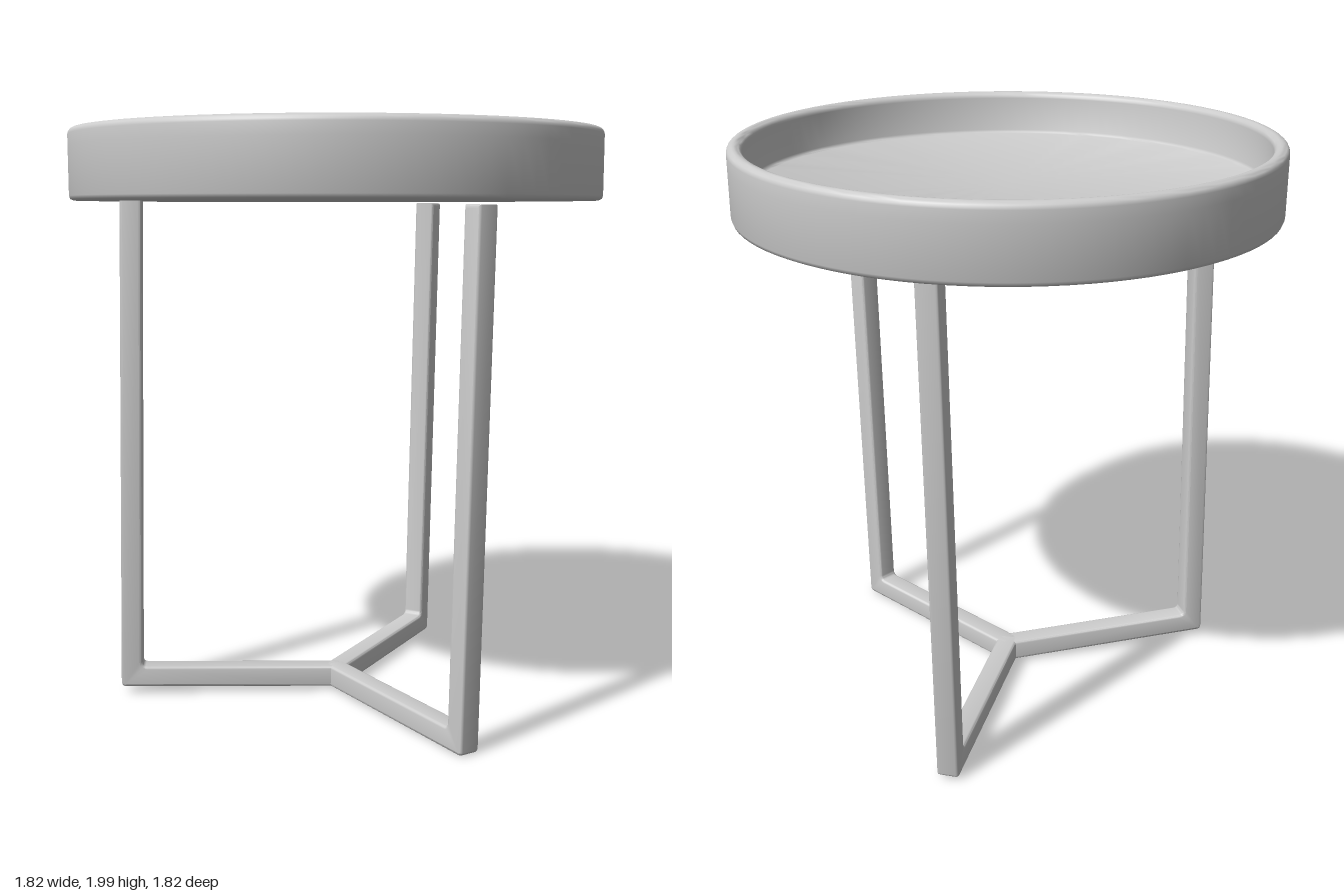
import * as THREE from 'three';
import { toCreasedNormals } from 'three/addons/utils/BufferGeometryUtils.js';

const material = new THREE.MeshStandardMaterial({ color: 0xcccccc });

// Round tray with a raised, softly rounded rim
function makeTray() {
  const R = 0.91, inner = 0.86, bottom = 1.76, top = 2, floor = 1.845;
  const points = [[0, bottom], [R - 0.015, bottom], [R - 0.004, bottom + 0.005], [R, bottom + 0.016], [R, top - 0.06]];
  // rim: a half-ellipse from the outer wall over to the inner wall
  const mid = (R + inner) / 2, half = (R - inner) / 2;
  for (let i = 0; i <= 10; i++) {
    const a = (i / 10) * Math.PI;
    points.push([mid + half * Math.cos(a), top - 0.022 + 0.022 * Math.sin(a)]);
  }
  points.push([inner, floor + 0.012], [inner - 0.004, floor + 0.004], [inner - 0.012, floor], [0, floor]);
  const profile = points.map(([x, y]) => new THREE.Vector2(x, y));
  const geometry = toCreasedNormals(new THREE.LatheGeometry(profile, 96), 0.9);
  const tray = new THREE.Mesh(geometry, material);
  tray.name = 'tray';
  return tray;
}

// L-shaped leg: a floor bar from the centre, then an upright at its outer end
function makeLegGeometry() {
  const t = 0.075, outer = 0.775, height = 1.74, bevel = 0.01, r = 0.018;
  const shape = new THREE.Shape();
  shape.moveTo(-0.01, 0);
  shape.lineTo(outer - r, 0);
  shape.quadraticCurveTo(outer, 0, outer, r);
  shape.lineTo(outer, height);
  shape.lineTo(outer - t, height);
  shape.lineTo(outer - t, t + r);
  shape.quadraticCurveTo(outer - t, t, outer - t - r, t);
  shape.lineTo(-0.01, t);
  shape.closePath();
  const geometry = new THREE.ExtrudeGeometry(shape, {
    depth: t - 2 * bevel, curveSegments: 5, bevelEnabled: true,
    bevelThickness: bevel, bevelSize: bevel, bevelOffset: -bevel, bevelSegments: 3,
  });
  geometry.translate(0, 0, -t / 2 + bevel);
  return toCreasedNormals(geometry, 0.7);
}

export function createModel() {
  const model = new THREE.Group();
  model.name = 'sideTable';
  model.add(makeTray());

  // Three-legged frame, leaning very slightly
  const frame = new THREE.Group();
  frame.name = 'frame';
  frame.position.y = 0.018;
  frame.rotation.set(0.016, 0, -0.0125);
  const legGeometry = makeLegGeometry();
  const legs = [['frontLeg', -90], ['backLeftLeg', 30], ['backRightLeg', 150]];
  for (const [name, degrees] of legs) {
    const leg = new THREE.Mesh(legGeometry, material);
    leg.name = name;
    leg.rotation.y = THREE.MathUtils.degToRad(degrees);
    frame.add(leg);
  }
  model.add(frame);
  return model;
}
